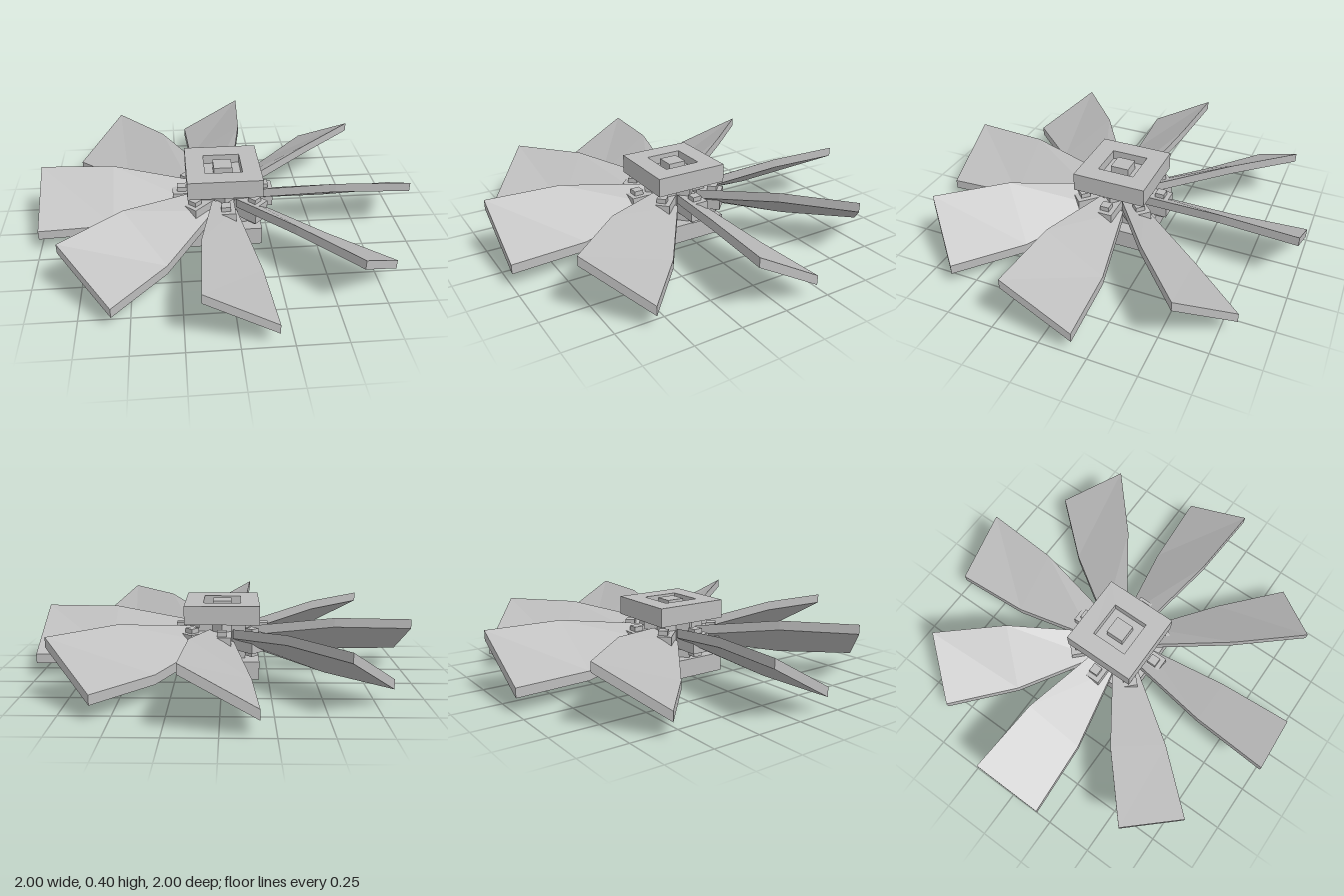
import * as THREE from 'three';

const grey = new THREE.MeshStandardMaterial({ color: 0xbcbcbc });
grey.name = 'plain grey';

function box(name, w, h, d, x, y, z) {
  const mesh = new THREE.Mesh(new THREE.BoxGeometry(w, h, d), grey);
  mesh.name = name;
  mesh.position.set(x, y, z);
  return mesh;
}

// Blade pointing along +z, lofted through sections [radius, half width, half rise]
function bladeGeometry() {
  const mid = 0.205, t = 0.025;
  const rings = [[0.15, 0.065, 0.035], [0.6, 0.15, 0.1], [1, 0.175, 0.1]].map(([r, w, h]) => [
    [-w, mid + h + t, r], [-w, mid + h - t, r], [w, mid - h - t, r], [w, mid - h + t, r],
  ]);
  const pos = [];
  const quad = (a, b, c, d) => pos.push(...a, ...b, ...c, ...a, ...c, ...d);
  for (let i = 0; i < rings.length - 1; i++) {
    for (let k = 0; k < 4; k++) {
      const n = (k + 1) % 4;
      quad(rings[i][k], rings[i][n], rings[i + 1][n], rings[i + 1][k]);
    }
  }
  const root = rings[0], tip = rings[rings.length - 1];
  quad(tip[0], tip[1], tip[2], tip[3]);
  quad(root[3], root[2], root[1], root[0]);
  const geo = new THREE.BufferGeometry();
  geo.setAttribute('position', new THREE.Float32BufferAttribute(pos, 3));
  geo.computeVertexNormals();
  return geo;
}

// Square hub plate with a square recess holding a flush central stud; side is 1 (top) or -1 (bottom)
function hubPlate(name, side) {
  const plate = new THREE.Group();
  plate.name = name;
  const square = (s) => [[-s, -s], [s, -s], [s, s], [-s, s]].map(([x, y]) => new THREE.Vector2(x, y));
  const shape = new THREE.Shape(square(0.2));
  shape.holes.push(new THREE.Path(square(0.1)));
  const rim = new THREE.Mesh(new THREE.ExtrudeGeometry(shape, { depth: 0.1, bevelEnabled: false }), grey);
  rim.name = 'plateRim';
  rim.rotation.x = -Math.PI / 2;
  rim.position.y = side > 0 ? 0.3 : 0;
  plate.add(rim);
  plate.add(box('recessFloor', 0.2, 0.05, 0.2, 0, 0.2 + side * 0.125, 0));
  plate.add(box('centreStud', 0.1, 0.05, 0.1, 0, 0.2 + side * 0.175, 0));
  return plate;
}

export function createModel() {
  const model = new THREE.Group();
  model.name = 'rotor';

  model.add(hubPlate('topPlate', 1), hubPlate('bottomPlate', -1));

  // Two crossed blocks form the star-shaped core
  for (let i = 0; i < 2; i++) {
    const core = box('hubCore', 0.25, 0.2, 0.25, 0, 0.2, 0);
    core.rotation.y = i * Math.PI / 4;
    model.add(core);
  }

  // Eight pitched blades, each with its socket and clamp
  const geo = bladeGeometry();
  for (let i = 0; i < 8; i++) {
    const arm = new THREE.Group();
    arm.name = 'bladeArm';
    arm.rotation.y = i * Math.PI / 4;
    const blade = new THREE.Mesh(geo, grey);
    blade.name = 'blade';
    arm.add(blade);
    arm.add(box('socket', 0.1, 0.1, 0.175, 0, 0.2, 0.1875));
    arm.add(box('clamp', 0.05, 0.15, 0.05, 0, 0.2, 0.225));
    model.add(arm);
  }
  return model;
}
